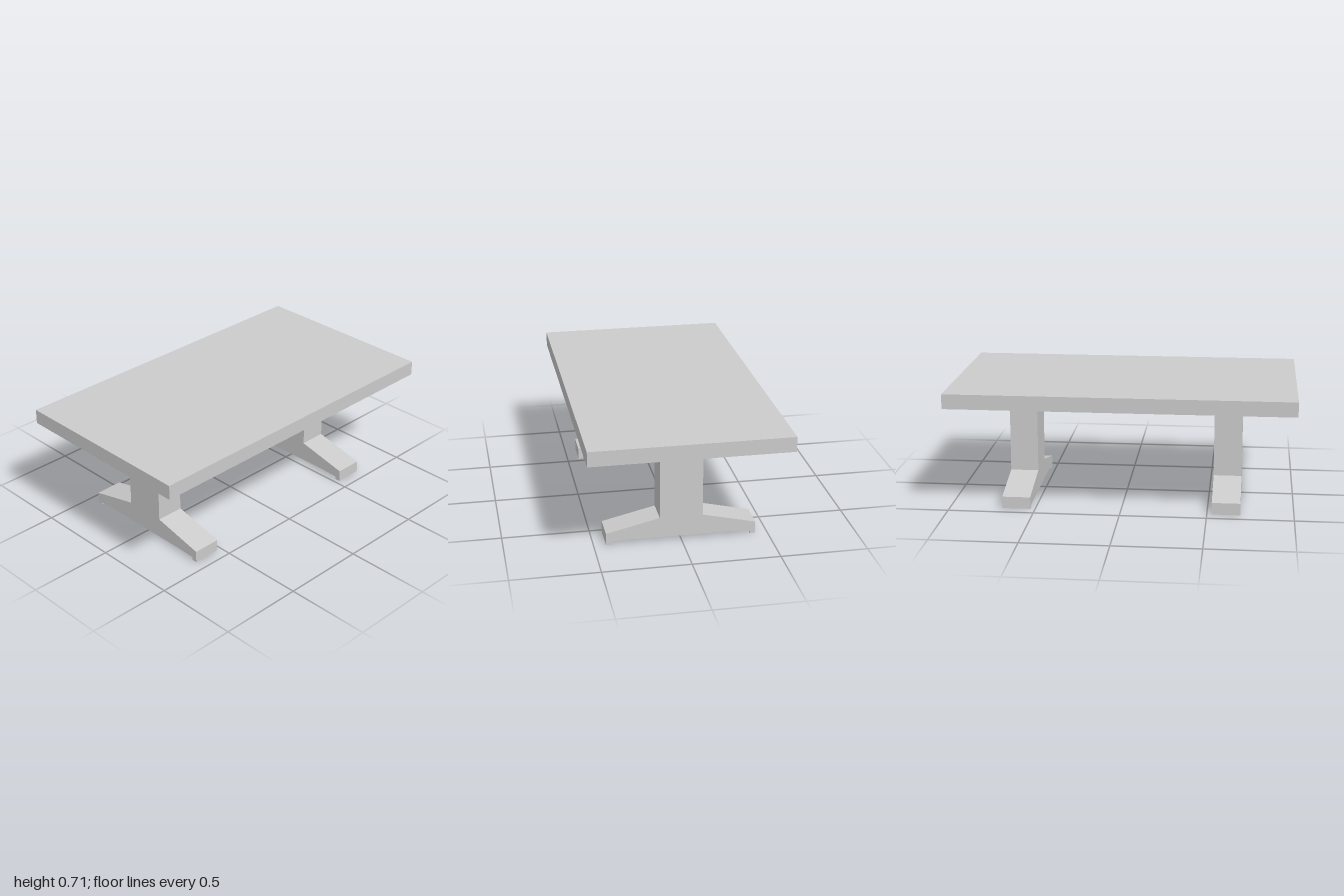
import * as THREE from 'three';

const TOP_Y = 0.71, UNDER_Y = 0.624, LEG_WIDTH = 0.165, LEG_X = 0.61;

// Trestle side outline as [z, y], from the front toe round to the back
const OUTLINE = [
  [0.43, 0], [0.43, 0.07], [0.123, 0.142], [0.123, UNDER_Y],
  [-0.123, UNDER_Y], [-0.123, 0.142], [-0.43, 0.07], [-0.43, 0],
  [-0.4, 0], [-0.4, 0.012], [-0.375, 0.017], [-0.3, 0.021],
  [0.3, 0.022], [0.4, 0.018], [0.4, 0],
];

function createLeg(material) {
  const shape = new THREE.Shape(OUTLINE.map(([z, y]) => new THREE.Vector2(z, y)));
  const geometry = new THREE.ExtrudeGeometry(shape, { depth: LEG_WIDTH, bevelEnabled: false });
  geometry.translate(0, 0, -LEG_WIDTH / 2);
  geometry.rotateY(-Math.PI / 2); // outline runs along z, width along x
  return new THREE.Mesh(geometry, material);
}

export function createModel() {
  const model = new THREE.Group();
  model.name = 'trestleTable';
  const material = new THREE.MeshStandardMaterial({ color: 0xcccccc });

  // Thick slab top
  const top = new THREE.Mesh(new THREE.BoxGeometry(2, TOP_Y - UNDER_Y, 1.13), material);
  top.name = 'tableTop';
  top.position.y = (TOP_Y + UNDER_Y) / 2;
  model.add(top);

  // Pair of trestle legs: post and splayed foot in one piece
  for (const side of [-1, 1]) {
    const leg = createLeg(material);
    leg.name = side > 0 ? 'leftLeg' : 'rightLeg';
    leg.position.x = side * LEG_X;
    model.add(leg);
  }
  return model;
}
